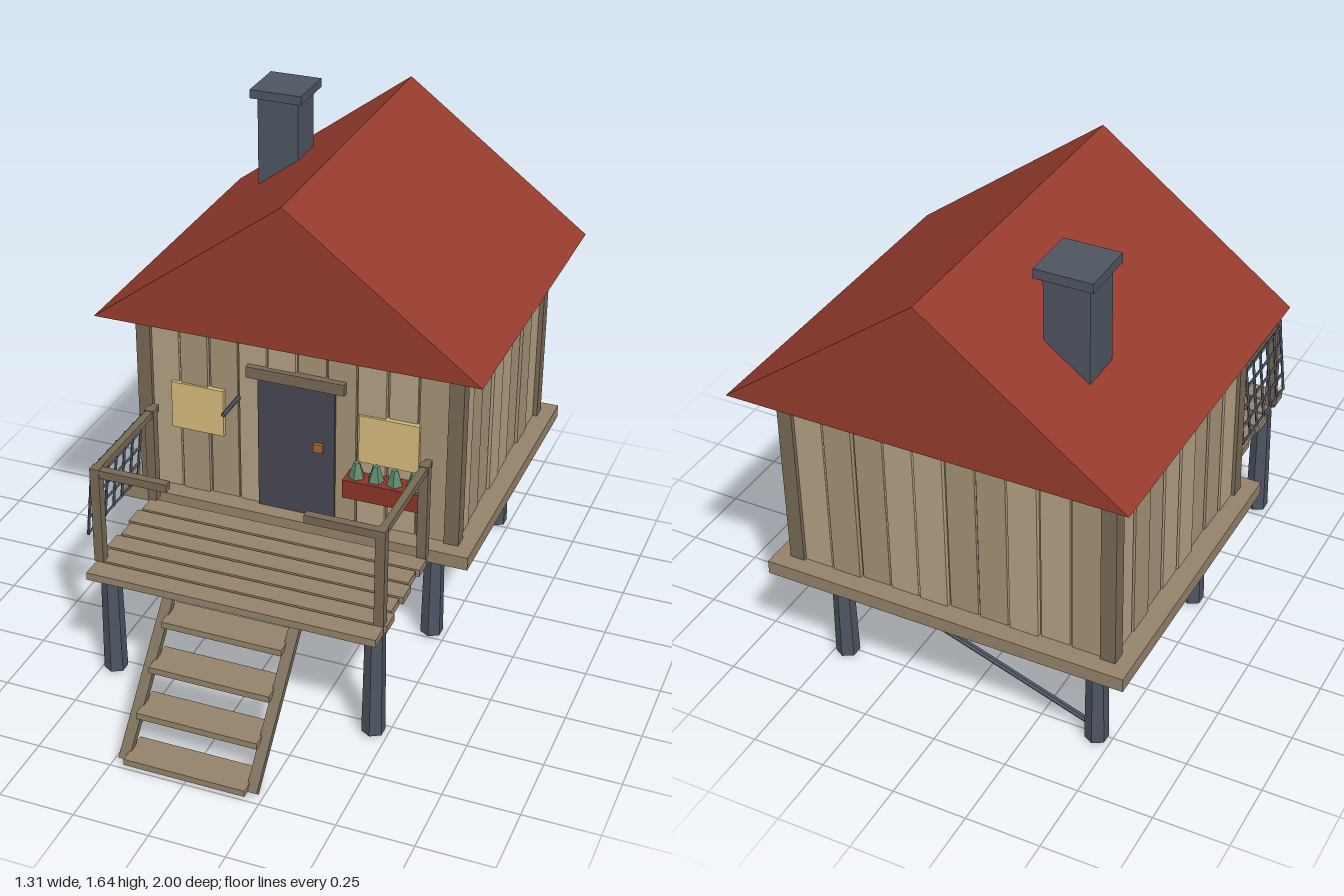
import * as THREE from 'three';

const mat = (color) => new THREE.MeshStandardMaterial({ color, flatShading: true });
const M = {
  plankA: mat(0xb3a184), plankB: mat(0xa59377), core: mat(0x7d6f58), post: mat(0x776a55),
  deck: mat(0x94836a), roof: mat(0x963c2d), slate: mat(0x4e5562), door: mat(0x474754),
  window: mat(0xd6bb7c), brass: mat(0xa06a2c), planter: mat(0x8b3428), plant: mat(0x5c8a6c),
};

export function createModel() {
  const root = new THREE.Group();
  root.name = 'stiltCabin';

  const add = (name, geo, material, parent = root) => {
    const mesh = new THREE.Mesh(geo, material);
    mesh.name = name;
    parent.add(mesh);
    return mesh;
  };
  // Box given by its min and max on each axis
  const box = (name, material, x0, x1, y0, y1, z0, z1, parent) => {
    const mesh = add(name, new THREE.BoxGeometry(x1 - x0, y1 - y0, z1 - z0), material, parent);
    mesh.position.set((x0 + x1) / 2, (y0 + y1) / 2, (z0 + z1) / 2);
    return mesh;
  };
  // Round bar between two points
  const bar = (name, material, a, b, r, sides = 6, parent = root) => {
    const p = new THREE.Vector3(...a), q = new THREE.Vector3(...b), d = q.clone().sub(p);
    const mesh = add(name, new THREE.CylinderGeometry(r, r, d.length(), sides), material, parent);
    mesh.position.copy(p).add(q).multiplyScalar(0.5);
    mesh.quaternion.setFromUnitVectors(new THREE.Vector3(0, 1, 0), d.normalize());
    return mesh;
  };
  const group = (name) => {
    const g = new THREE.Group();
    g.name = name;
    root.add(g);
    return g;
  };

  // Stilts and diagonal braces
  const stilts = group('stilts');
  for (const z of [0.545, -0.03, -0.77]) {
    for (const x of [-0.453, 0.453]) {
      const top = z > 0 ? 0.425 : 0.41;
      const leg = add('stilt', new THREE.CylinderGeometry(0.033, 0.039, top - 0.015, 6), M.slate, stilts);
      leg.position.set(x, (top + 0.015) / 2, z);
    }
    if (z < 0) bar('brace', M.slate, [-0.45, 0.055, z], [0.45, 0.375, z], 0.01, 6, stilts);
  }

  // Cabin floor and wall core
  box('floor', M.deck, -0.615, 0.615, 0.4, 0.447, -0.935, 0.13);
  box('wallCore', M.core, -0.538, 0.538, 0.44, 1.11, -0.858, 0.052);

  // Vertical wall planks, slightly uneven in height and depth
  const planks = group('wallPlanks');
  const wall = (count, from, to, place) => {
    const pitch = (to - from) / count;
    for (let i = 0; i < count; i++) {
      const a = from + i * pitch + 0.004, b = from + (i + 1) * pitch - 0.004;
      const top = 1.108 - 0.007 * ((i * 5 + count) % 3);
      const out = 0.004 * ((i * 7 + 1) % 3);
      place(a, b, top, out, (i * 3) % 4 < 2 ? M.plankA : M.plankB);
    }
  };
  wall(10, -0.517, 0.517, (a, b, top, o, m) => {
    box('frontPlank', m, a, b, 0.445, top, 0.045, 0.06 + o, planks);
    box('backPlank', m, -b, -a, 0.445, top, -0.867 - o, -0.85, planks);
  });
  wall(8, -0.84, 0.035, (a, b, top, o, m) => {
    box('leftPlank', m, 0.53, 0.545 + o, 0.445, top, a, b, planks);
    box('rightPlank', m, -0.545 - o, -0.53, 0.445, top, a, b, planks);
  });
  for (const x of [-0.54, 0.54])
    for (const z of [0.05, -0.857])
      box('cornerPost', M.post, x - 0.025, x + 0.025, 0.445, 1.11, z - 0.025, z + 0.025);

  // Gabled roof
  const gable = new THREE.Shape([[-0.655, 1.107], [0.655, 1.107], [0, 1.597]].map((p) => new THREE.Vector2(...p)));
  const roof = add('roof', new THREE.ExtrudeGeometry(gable, { depth: 1.19, bevelEnabled: false }), M.roof);
  roof.position.z = -1;

  // Chimney
  box('chimney', M.slate, -0.402, -0.256, 1.2, 1.62, -0.724, -0.58);
  box('chimneyCap', M.slate, -0.422, -0.237, 1.614, 1.645, -0.747, -0.56);

  // Door, shutters and peg on the front wall
  box('door', M.door, -0.134, 0.134, 0.445, 0.93, 0.05, 0.075);
  box('lintel', M.post, -0.17, 0.17, 0.926, 0.966, 0.05, 0.086);
  box('doorKnob', M.brass, 0.064, 0.096, 0.698, 0.728, 0.07, 0.088);
  box('rightWindow', M.window, -0.443, -0.257, 0.68, 0.85, 0.05, 0.076);
  box('leftWindow', M.window, 0.218, 0.422, 0.69, 0.862, 0.05, 0.076);
  bar('wallPeg', M.slate, [-0.206, 0.833, 0.05], [-0.206, 0.833, 0.19], 0.008);

  // Flower box
  box('flowerBox', M.planter, 0.185, 0.453, 0.582, 0.648, 0.06, 0.137);
  for (let i = 0; i < 4; i++) {
    const plant = add('plant', new THREE.CylinderGeometry(0.011, 0.03, 0.06, 5), M.plant);
    plant.position.set(0.222 + i * 0.065, 0.672, 0.1);
    plant.rotation.y = i * 0.7;
  }

  // Porch deck boards
  const shift = [0.005, 0.012, -0.002, 0.008, -0.004, 0.006];
  shift.forEach((s, i) => {
    const z = 0.62 - i * 0.081;
    box('deckBoard', M.deck, -0.488 + s, 0.488 + s, 0.421, 0.447, z - 0.036, z + 0.036);
  });

  // Railings on both sides and beside the stairs
  for (const s of [-1, 1]) {
    const rail = group(s > 0 ? 'leftRailing' : 'rightRailing');
    const x = 0.475 * s;
    for (const z of [0.566, 0.17])
      box('railPost', M.post, x - 0.016, x + 0.016, 0.445, 0.79, z - 0.016, z + 0.016, rail);
    box('sideRail', M.post, x - 0.012, x + 0.012, 0.764, 0.788, 0.133, 0.582, rail);
    const a = 0.228 * s, b = 0.488 * s;
    box('frontRail', M.post, Math.min(a, b), Math.max(a, b), 0.76, 0.788, 0.552, 0.58, rail);
  }

  // Net hung outside the right railing, leaning outward at the bottom
  const net = group('net');
  const netX = (y) => -0.494 - 0.1 * (0.78 - y);
  for (let i = 0; i < 7; i++) {
    const z = 0.2 + i * 0.06;
    bar('netCord', M.slate, [netX(0.78), 0.78, z], [netX(0.525), 0.525, z], 0.005, 4, net);
  }
  for (let i = 0; i < 5; i++) {
    const y = 0.53 + i * 0.061;
    bar('netCord', M.slate, [netX(y), y, 0.195], [netX(y), y, 0.565], 0.005, 4, net);
  }

  // Stairs: sloping stringers and flat treads
  const stairs = group('stairs');
  const rise = 0.415, run = 0.385;
  for (const x of [-0.215, 0.215]) {
    const beam = add('stringer', new THREE.BoxGeometry(0.036, 0.024, Math.hypot(rise, run)), M.post, stairs);
    beam.position.set(x, 0.22, 0.775);
    beam.rotation.x = Math.atan2(rise, run);
  }
  for (let i = 0; i < 4; i++) {
    const y = 0.03 + i * 0.107, z = 0.94 - i * 0.099;
    box('tread', M.deck, -0.203, 0.203, y - 0.011, y + 0.011, z - 0.06, z + 0.06, stairs);
  }

  return root;
}
